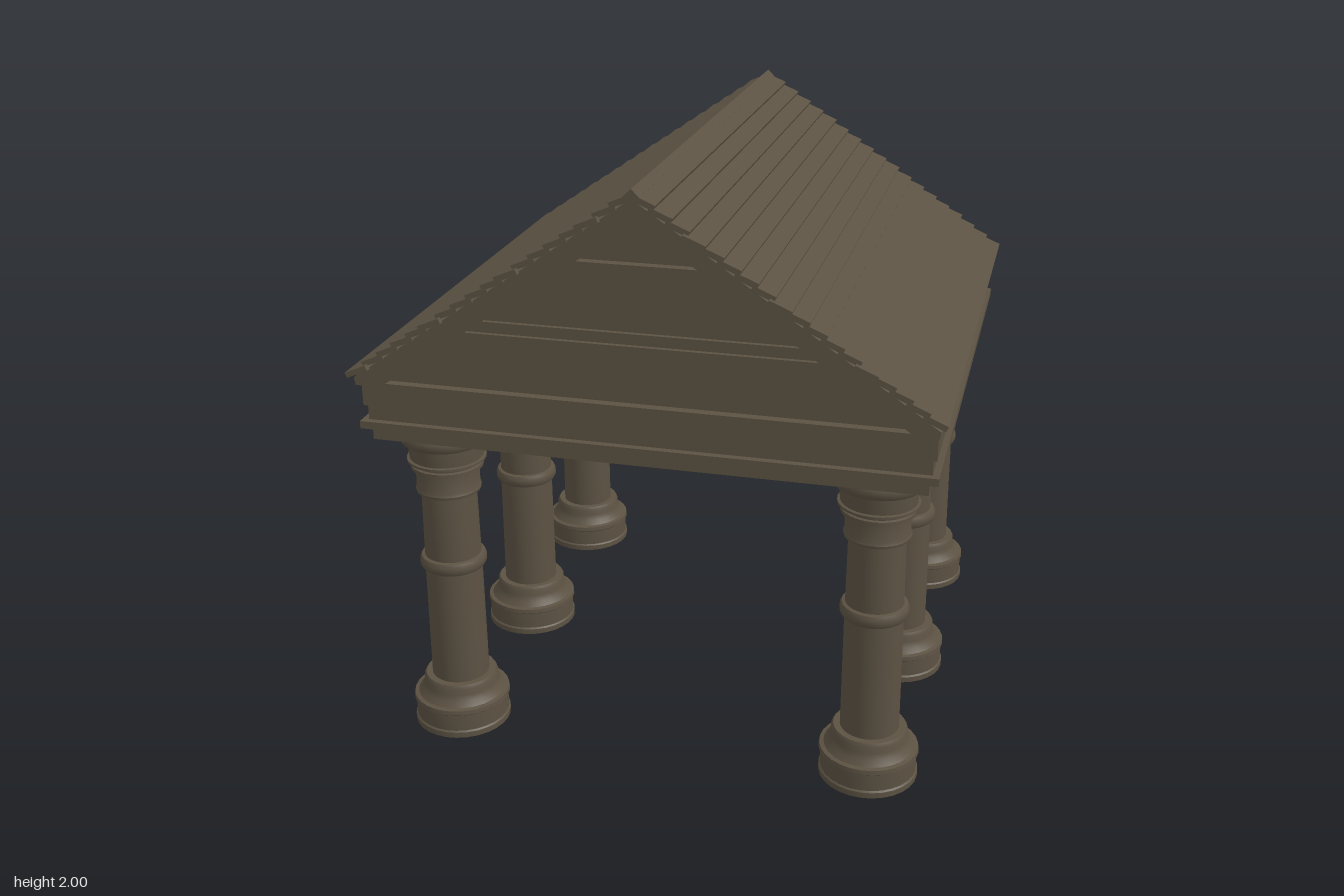
import * as THREE from 'three';
import { toCreasedNormals } from 'three/addons/utils/BufferGeometryUtils.js';

const stone = new THREE.MeshStandardMaterial({ color: 0x5c5243 });
stone.name = 'weathered stone';

function add(parent, name, geometry, x = 0, y = 0, z = 0) {
  const mesh = new THREE.Mesh(geometry, stone);
  mesh.name = name;
  mesh.position.set(x, y, z);
  parent.add(mesh);
  return mesh;
}

const polygon = (pts) => new THREE.Shape(pts.map(([x, y]) => new THREE.Vector2(x, y)));
const extrude = (shape, depth) =>
  new THREE.ExtrudeGeometry(shape, { depth, bevelEnabled: false, curveSegments: 24 });

// Half width of the sunken pediment triangle at height y
const panelHalf = (y) => (1.89 - y) * 1.43;
const panel = (y0, y1) => {
  const a = panelHalf(y0), b = panelHalf(y1);
  return b > 0.001 ? [[-a, y0], [a, y0], [b, y1], [-b, y1]] : [[-a, y0], [a, y0], [0, y1]];
};

function columnGeometry() {
  const profile = [
    [0, 0], [0.165, 0], [0.165, 0.02], [0.16, 0.025], [0.16, 0.085], [0.166, 0.09], [0.164, 0.105],
    [0.15, 0.108], [0.136, 0.125], [0.127, 0.145], [0.127, 0.168], [0.12, 0.18], [0.098, 0.18],
    // shaft with middle ring
    [0.096, 0.593], [0.106, 0.596], [0.112, 0.608], [0.112, 0.626], [0.106, 0.638], [0.095, 0.641],
    [0.092, 0.875], [0.107, 0.877], [0.109, 0.887], [0.105, 0.896],
    // capital
    [0.105, 0.955], [0.12, 0.962], [0.12, 0.975], [0.112, 0.978], [0.114, 0.988], [0.131, 0.99],
    [0.131, 0.998], [0.122, 1.0], [0.126, 1.052], [0.144, 1.06], [0.152, 1.073], [0.152, 1.092],
    [0.144, 1.106], [0.13, 1.112], [0, 1.112],
  ].map(([r, y]) => new THREE.Vector2(r, y));
  return toCreasedNormals(new THREE.LatheGeometry(profile, 28), 0.6);
}

function addGable(parent, name, turn) {
  const gable = new THREE.Group();
  gable.name = name;
  gable.rotation.y = turn;
  parent.add(gable);
  // Frame with three sunken panels, leaving two cross beams
  const face = polygon([[-0.91, 1.23], [0.91, 1.23], [0.91, 1.325], [0, 1.955], [-0.91, 1.325]]);
  for (const [y0, y1] of [[1.31, 1.47], [1.505, 1.74], [1.76, 1.89]]) {
    face.holes.push(new THREE.Path(panel(y0, y1).reverse().map(([x, y]) => new THREE.Vector2(x, y))));
  }
  add(gable, 'pedimentFrame', extrude(face, 0.03), 0, 0, 0.88);
  add(gable, 'beamLedge', extrude(polygon(panel(1.505, 1.54)), 0.015), 0, 0, 0.88);
}

function addRoof(parent) {
  const roof = new THREE.Group();
  roof.name = 'roof';
  parent.add(roof);

  // Solid attic and sloping deck
  add(roof, 'attic', extrude(polygon([[-0.91, 1.23], [0.91, 1.23], [0.91, 1.325], [0, 1.955], [-0.91, 1.325]]), 1.76), 0, 0, -0.88);
  add(roof, 'roofDeck', extrude(polygon([
    [0.885, 1.31], [0.915, 1.31], [0.92, 1.335], [0, 1.968], [-0.92, 1.335], [-0.915, 1.31], [-0.885, 1.31], [0, 1.925],
  ]), 1.88), 0, 0, -0.94);
  addGable(roof, 'frontGable', 0);
  addGable(roof, 'backGable', Math.PI);

  // Overlapping planks, slightly flatter than the slope, with uneven ends
  const rows = 18, slope = Math.atan2(0.633, 0.92);
  for (const s of [-1, 1]) {
    for (let i = 0; i < rows; i++) {
      const t = (i + 0.5) / rows;
      const k = (i * 7 + (s > 0 ? 2 : 0)) % 5;
      const front = k === 0 ? 0.96 : 0.943;
      const back = k === 3 ? 0.966 : 0.955;
      const plank = add(roof, 'roofPlank', new THREE.BoxGeometry(0.076, 0.018, front + back),
        s * (0.92 * (1 - t) + 0.007), 1.335 + 0.633 * t + 0.01, (front - back) / 2);
      plank.rotation.z = -s * (slope - 0.2);
    }
  }
  const ridge = add(roof, 'ridgeCap', new THREE.BoxGeometry(0.035, 0.035, 1.9), 0, 1.975, -0.005);
  ridge.rotation.z = Math.PI / 4;
}

function addCeilingOrnament(parent) {
  // Round moulding
  const ring = new THREE.Shape().absarc(0, 0, 0.4, 0, Math.PI * 2, false);
  ring.holes.push(new THREE.Path().absarc(0, 0, 0.345, 0, Math.PI * 2, true));
  add(parent, 'ceilingRing', extrude(ring, 0.03), 0, 1.115, 0).rotation.x = Math.PI / 2;

  // Broken crescent on the back half of the ring
  const pts = [];
  for (let i = 0; i <= 20; i++) {
    const a = Math.PI * (1 + i / 20);
    pts.push([0.355 * Math.cos(a), 0.345 * Math.sin(a)]);
  }
  for (let i = 10; i >= 0; i--) {
    const a = Math.PI * (1.03 + 0.94 * i / 10), r = i % 2 ? 0.25 : 0.29;
    pts.push([r * Math.cos(a), r * Math.sin(a)]);
  }
  add(parent, 'brokenInlay', extrude(polygon(pts), 0.055), 0.01, 1.115, 0).rotation.x = Math.PI / 2;
}

export function createModel() {
  const model = new THREE.Group();
  model.name = 'pavilion';

  // Three columns along each side
  const column = columnGeometry();
  for (const x of [-0.72, 0.72]) {
    for (const z of [-0.72, 0, 0.72]) add(model, 'column', column, x, 0, z);
  }

  // Stepped entablature: bottom, top, half width, half depth
  for (const [y0, y1, w, d] of [
    [1.11, 1.155, 0.89, 0.898], [1.155, 1.18, 0.92, 0.925], [1.18, 1.232, 0.898, 0.902],
  ]) {
    add(model, 'entablature', new THREE.BoxGeometry(2 * w, y1 - y0, 2 * d), 0, (y0 + y1) / 2, 0);
  }

  addCeilingOrnament(model);
  addRoof(model);
  return model;
}
